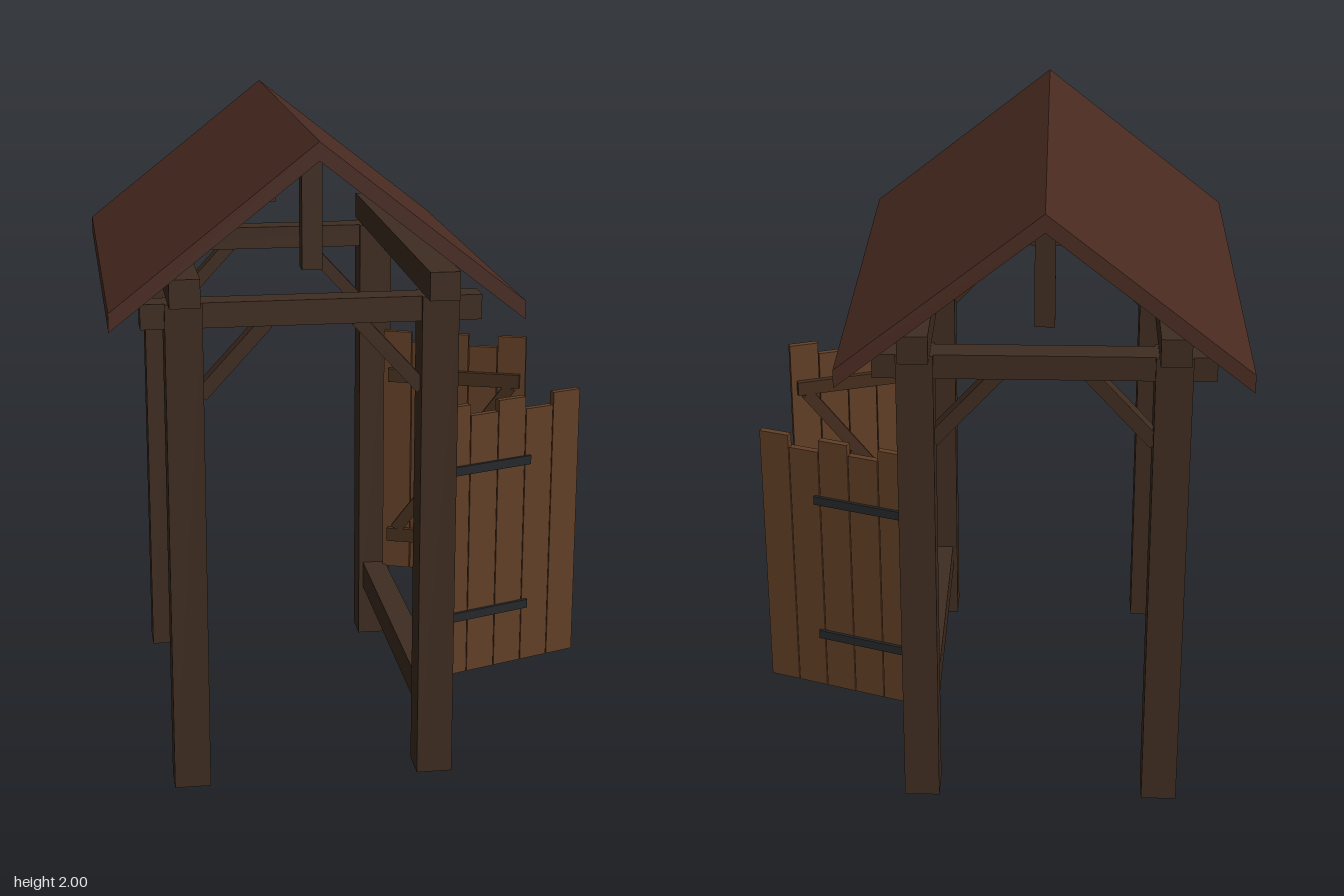
import * as THREE from 'three';

const mat = (color) => new THREE.MeshStandardMaterial({ color });
const timber = mat(0x3f2c20);
const shingle = mat(0x4a2b21);
const plankWood = mat(0x613f26);
const ledgeWood = mat(0x452d1d);
const iron = mat(0x25272a);

const MID = -0.1475; // x of the ridge line
const HALF = 0.3775; // post offset from the ridge line
const POST_Z = 0.585;

function box(parent, name, material, size, pos, rotZ = 0) {
  const mesh = new THREE.Mesh(new THREE.BoxGeometry(...size), material);
  mesh.name = name;
  mesh.position.set(...pos);
  mesh.rotation.z = rotZ;
  parent.add(mesh);
  return mesh;
}

// Gable roof: an inverted V with plumb-cut eaves, extruded along z
function buildRoof() {
  const w = 0.598, top = 2, eave = 1.53, t = 0.055;
  const s = new THREE.Shape();
  s.moveTo(-w, eave - t);
  s.lineTo(0, top - t);
  s.lineTo(w, eave - t);
  s.lineTo(w, eave);
  s.lineTo(0, top);
  s.lineTo(-w, eave);
  s.closePath();
  const geo = new THREE.ExtrudeGeometry(s, { depth: 1.55, bevelEnabled: false });
  geo.translate(MID, 0, -0.775);
  const roof = new THREE.Mesh(geo, shingle);
  roof.name = 'roof';
  return roof;
}

// Gate leaf: local x runs from the hinge outwards; side is +1 for the front leaf, -1 for the back leaf
function buildGate(side) {
  const gate = new THREE.Group();
  gate.name = side > 0 ? 'frontGate' : 'backGate';
  const bottom = 0.268;
  [1.145, 1.11, 1.145, 1.105, 1.145].forEach((top, i) => {
    box(gate, 'plank', plankWood, [0.098, top - bottom, 0.022],
      [0.0505 + i * 0.101, (top + bottom) / 2, 0]);
  });
  // Two ledges and a diagonal on the inner face
  const inner = -side * 0.021;
  for (const y of [0.395, 0.99]) {
    box(gate, 'ledge', ledgeWood, [0.465, 0.048, 0.02], [0.2525, y, inner]);
  }
  const dx = 0.40, dy = 0.55;
  box(gate, 'diagonalBrace', ledgeWood, [Math.hypot(dx, dy), 0.042, 0.018],
    [0.2525, 0.6925, inner], Math.atan2(dy, dx));
  // Hinge straps on the outer face
  for (const y of [0.46, 0.94]) {
    box(gate, 'hingeStrap', iron, [0.32, 0.028, 0.01], [0.16, y, side * 0.016]);
  }
  gate.position.set(0.26, 0, side * 0.515);
  gate.rotation.y = side * THREE.MathUtils.degToRad(20);
  return gate;
}

export function createModel() {
  const model = new THREE.Group();
  model.name = 'gateShelter';

  for (const sz of [1, -1]) {
    const z = sz * POST_Z;
    // Cross beam and king post of each end frame
    box(model, 'tieBeam', timber, [1.005, 0.075, 0.085], [MID, 1.4825, z]);
    box(model, 'kingPost', timber, [0.06, 0.32, 0.06], [MID, 1.765, z]);
    for (const sx of [1, -1]) {
      box(model, 'post', timber, [0.11, 1.52, 0.11], [MID + sx * HALF, 0.76, z]);
      box(model, 'kneeBrace', timber, [0.29, 0.042, 0.055],
        [MID + sx * 0.232, 1.345, z], -sx * 0.83);
    }
    model.add(buildGate(sz));
  }

  // Wall plates carrying the roof
  for (const sx of [1, -1]) {
    box(model, 'wallPlate', timber, [0.09, 0.085, 1.4], [MID + sx * HALF, 1.5625, 0]);
  }

  // Low rail between the gate posts
  box(model, 'lowerRail', timber, [0.08, 0.093, 1.1], [MID + HALF, 0.2275, 0]);

  model.add(buildRoof());
  return model;
}
